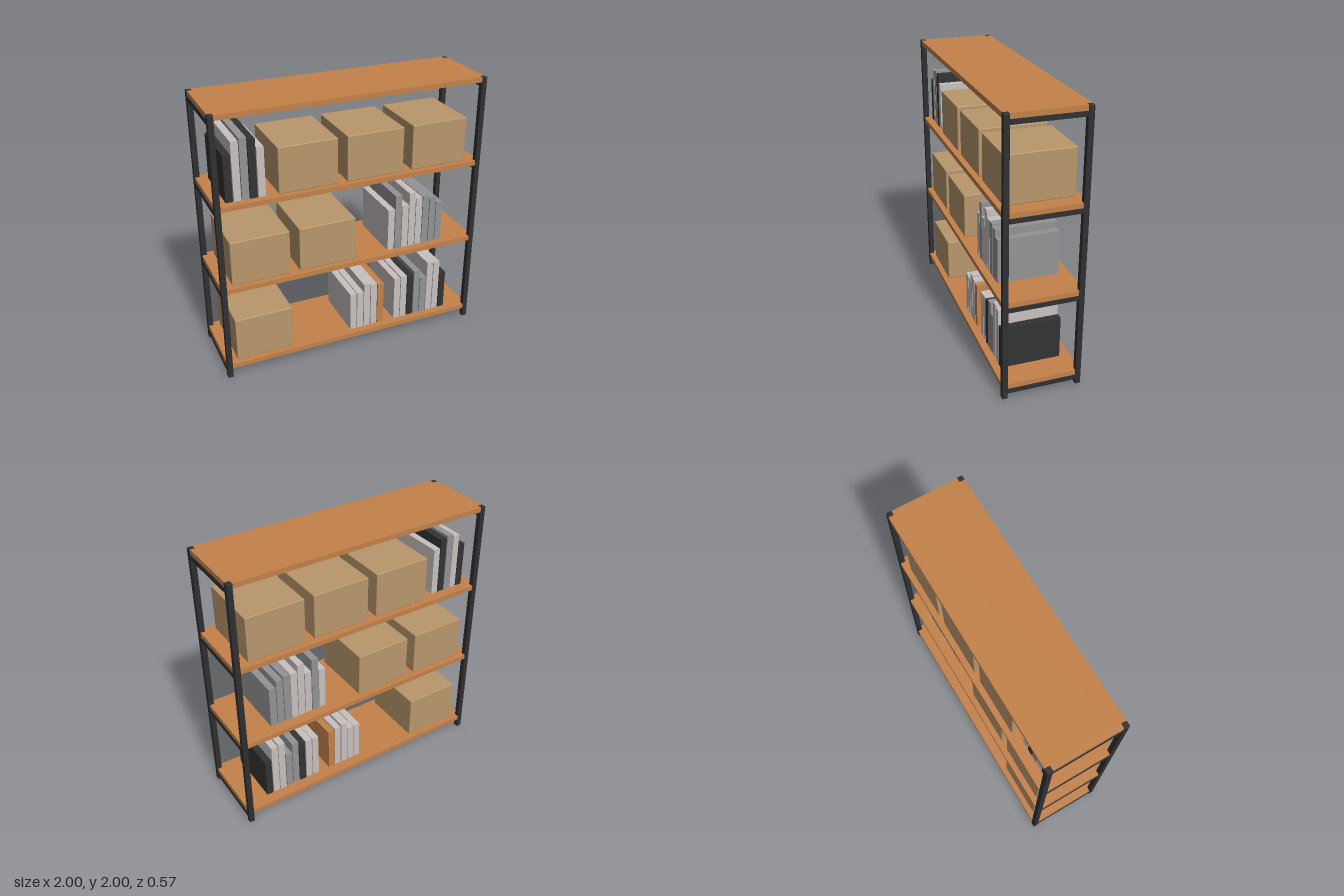
import * as THREE from 'three';
import { RoundedBoxGeometry } from 'three/addons/geometries/RoundedBoxGeometry.js';

function material(name, color) {
  const m = new THREE.MeshStandardMaterial({ color });
  m.name = name;
  return m;
}

export function createModel() {
  const wood = material('warm wood', 0xc4824a);
  const steel = material('black steel', 0x303032);
  const cardboard = material('cardboard', 0xb9976c);
  const pale = material('pale grey cover', 0xc8c2c0);
  const grey = material('mid grey cover', 0x949497);
  const dark = material('charcoal cover', 0x333333);

  const model = new THREE.Group();
  model.name = 'shelvingUnit';

  const add = (name, geometry, mat, x, y, z) => {
    const mesh = new THREE.Mesh(geometry, mat);
    mesh.name = name;
    mesh.position.set(x, y, z);
    model.add(mesh);
    return mesh;
  };

  const levels = [0.11, 0.74, 1.37, 2.0]; // top surface of each board
  const post = 0.04, halfW = 1, halfD = 0.285, thick = 0.036;

  // Corner posts
  const postGeo = new RoundedBoxGeometry(post, 2, post, 1, 0.004);
  for (const sx of [-1, 1]) for (const sz of [-1, 1]) {
    add('cornerPost', postGeo, steel, sx * (halfW - post / 2), 1, sz * (halfD - post / 2));
  }

  // Boards notched around the posts
  const a = halfW - 0.006, b = halfW - post, c = halfD - 0.002, d = halfD - post;
  const outline = new THREE.Shape([
    [-b, -c], [b, -c], [b, -d], [a, -d], [a, d], [b, d],
    [b, c], [-b, c], [-b, d], [-a, d], [-a, -d], [-b, -d],
  ].map(([x, y]) => new THREE.Vector2(x, y)));
  const boardGeo = new THREE.ExtrudeGeometry(outline, { depth: thick, bevelEnabled: false });
  boardGeo.rotateX(-Math.PI / 2);

  // End rails carrying each board
  const railGeo = new THREE.BoxGeometry(post - 0.002, 0.034, 2 * d);
  for (const top of levels) {
    add('shelfBoard', boardGeo, wood, 0, top - thick, 0);
    for (const sx of [-1, 1]) {
      add('endRail', railGeo, steel, sx * (halfW - post / 2), top - thick - 0.017, 0);
    }
  }

  // Cardboard boxes
  const boxGeo = new RoundedBoxGeometry(0.43, 0.335, 0.485, 2, 0.006);
  const boxes = [[0, -0.695], [1, -0.695], [1, -0.195], [2, -0.33], [2, 0.17], [2, 0.67]];
  for (const [level, x] of boxes) {
    add('storageBox', boxGeo, cardboard, x, levels[level] + 0.1675, 0.001);
  }

  // Rows of books: level, centre of first book, then [cover, height]
  const rows = [
    [0, 0.015, [[pale, 0.31], [pale, 0.31], [pale, 0.37], [pale, 0.355], [wood, 0.345]]],
    [0, 0.384, [[pale, 0.355], [pale, 0.36], [dark, 0.36], [grey, 0.385],
      [grey, 0.31], [pale, 0.435], [pale, 0.425], [dark, 0.315]]],
    [1, 0.314, [[pale, 0.33], [grey, 0.435], [pale, 0.345], [pale, 0.435],
      [pale, 0.385], [grey, 0.385], [grey, 0.37], [grey, 0.32]]],
    [2, -0.885, [[dark, 0.335], [pale, 0.42], [grey, 0.435], [dark, 0.42], [pale, 0.355]]],
  ];
  for (const [level, start, books] of rows) {
    books.forEach(([cover, height], i) => {
      add('book', new THREE.BoxGeometry(0.051, height, 0.435), cover,
        start + i * 0.0567, levels[level] + height / 2, 0.012);
    });
  }

  return model;
}
